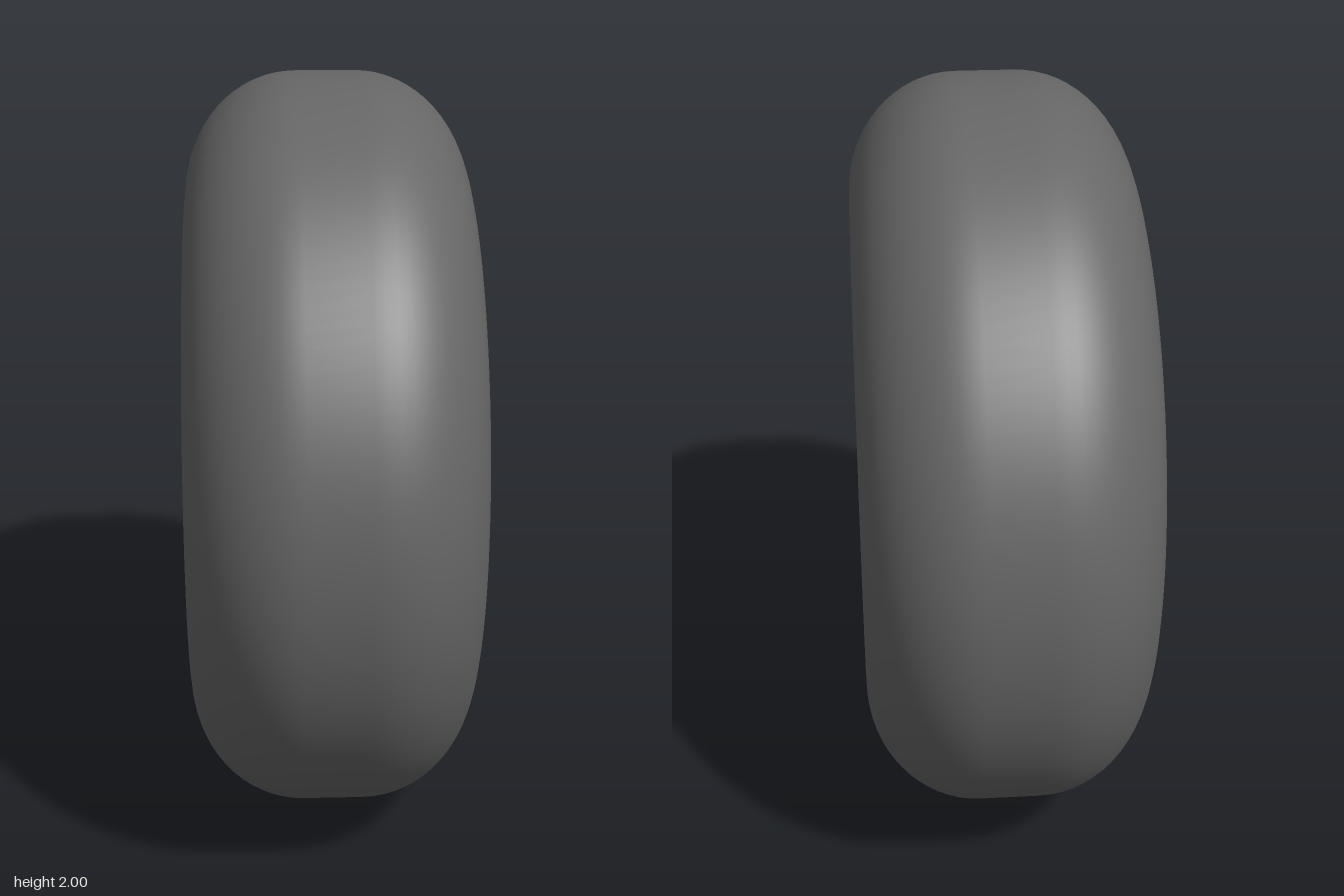
import * as THREE from 'three';
import { toCreasedNormals } from 'three/addons/utils/BufferGeometryUtils.js';

const SEGMENTS = 128;

// Spins a closed [radius, x] profile around the x axis.
function revolve(name, profile, material) {
  const points = profile.map(([r, x]) => new THREE.Vector2(r, x));
  const lathe = new THREE.LatheGeometry(points, SEGMENTS).rotateZ(-Math.PI / 2);
  const mesh = new THREE.Mesh(toCreasedNormals(lathe, 0.5), material);
  mesh.name = name;
  return mesh;
}

function circlePath(x, y, radius) {
  return new THREE.Path().absarc(x, y, radius, 0, Math.PI * 2, true);
}

// Round shoulders, flat sidewalls and bevelled beads, mirrored about x = 0.
function tireProfile() {
  const half = [];
  const steps = 16;
  for (let i = 0; i <= steps; i++) {
    const a = (i / steps) * Math.PI / 2;
    half.push([0.68 + 0.32 * Math.cos(a), 0.08 + 0.295 * Math.sin(a)]);
  }
  half.push([0.485, 0.375], [0.41, 0.28]);
  const mirrored = half.map(([r, x]) => [r, -x]).reverse();
  return [...mirrored, ...half, mirrored[0]];
}

// Barrel open to +x, cone down to the disc, gutter on the -x side.
function rimProfile() {
  const lip = [[0.412, 0.28], [0.406, 0.286], [0.4, 0.282], [0.396, 0.268], [0.39, 0.25], [0.385, 0.23]];
  const barrel = [[0.38, 0.19], [0.38, -0.03], [0.375, -0.052], [0.365, -0.07], [0.315, -0.13]];
  const gutter = [
    [0.315, -0.165], [0.322, -0.145], [0.332, -0.133], [0.345, -0.128],
    [0.358, -0.133], [0.368, -0.145], [0.374, -0.162], [0.378, -0.19],
  ];
  const backLip = lip.map(([r, x]) => [r, -x]).reverse();
  return [...lip, ...barrel, ...gutter, ...backLip, lip[0]];
}

// Mounting disc with a centre bore and six bolt holes.
function mountingDisc(material) {
  const thickness = 0.035;
  const shape = new THREE.Shape().absarc(0, 0, 0.316, 0, Math.PI * 2, false);
  shape.holes.push(circlePath(0, 0, 0.23));
  for (let i = 0; i < 6; i++) {
    const a = Math.PI / 2 + (i * Math.PI) / 3;
    shape.holes.push(circlePath(0.265 * Math.cos(a), 0.265 * Math.sin(a), 0.023));
  }
  const geometry = new THREE.ExtrudeGeometry(shape, { depth: thickness, bevelEnabled: false, curveSegments: 64 });
  geometry.rotateY(Math.PI / 2).translate(-0.165, 0, 0);
  const mesh = new THREE.Mesh(toCreasedNormals(geometry, 0.5), material);
  mesh.name = 'mountingDisc';
  return mesh;
}

export function createModel() {
  const rubber = new THREE.MeshStandardMaterial({ color: 0x666666 });
  const metal = new THREE.MeshStandardMaterial({ color: 0xbcc8d8 });

  const wheel = new THREE.Group();
  wheel.name = 'wheel';
  wheel.add(
    revolve('tire', tireProfile(), rubber),
    revolve('rim', rimProfile(), metal),
    mountingDisc(metal),
  );
  wheel.position.y = 1;

  const model = new THREE.Group();
  model.name = 'wheelModel';
  model.add(wheel);
  return model;
}
